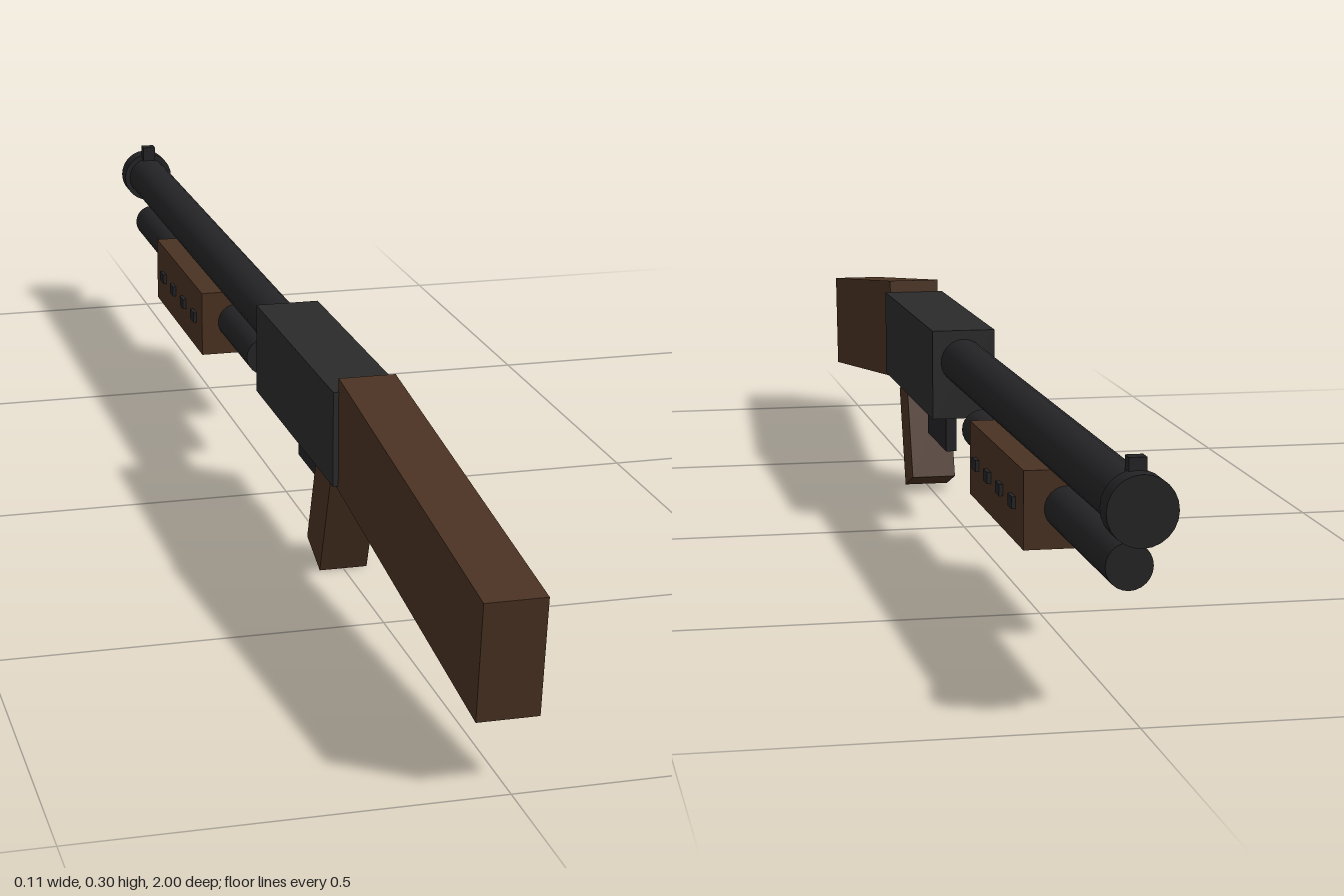
import * as THREE from 'three';

export function createModel() {
  const model = new THREE.Group();
  const material = (name, color) => {
    const m = new THREE.MeshStandardMaterial({ color });
    m.name = name;
    return m;
  };
  const wood = material('walnut wood', 0x4a3222);
  const steel = material('receiver steel', 0x2b2b2b);
  const darkSteel = material('barrel steel', 0x242426);

  const add = (name, geometry, mat, x, y, z, tilt = 0) => {
    const mesh = new THREE.Mesh(geometry, mat);
    mesh.name = name;
    mesh.position.set(x, y, z);
    mesh.rotation.x = tilt;
    model.add(mesh);
    return mesh;
  };
  const box = (name, mat, [w, h, d], [x, y, z], tilt) =>
    add(name, new THREE.BoxGeometry(w, h, d), mat, x, y, z, tilt);
  // Round bar along z between two ends
  const bar = (name, mat, radius, y, z0, z1) => {
    const geometry = new THREE.CylinderGeometry(radius, radius, Math.abs(z1 - z0), 24);
    geometry.rotateX(Math.PI / 2);
    return add(name, geometry, mat, 0, y, (z0 + z1) / 2);
  };

  // Wooden stock and grip, both tilted
  box('stock', wood, [0.074, 0.147, 0.591], [0, 0.19, 0.699], 0.12);
  box('grip', wood, [0.064, 0.149, 0.07], [0, 0.082, 0.3], 0.35);

  // Receiver and the thin guard below it
  box('receiver', steel, [0.088, 0.125, 0.41], [0, 0.218, 0.21]);
  box('triggerGuard', darkSteel, [0.015, 0.05, 0.15], [0, 0.115, 0.175]);

  // Barrel, muzzle ring, front sight and magazine tube
  bar('barrel', darkSteel, 0.032, 0.236, 0.01, -0.99);
  bar('muzzle', darkSteel, 0.04, 0.236, -0.97, -1);
  box('frontSight', darkSteel, [0.02, 0.03, 0.018], [0, 0.275, -0.968]);
  bar('magazineTube', darkSteel, 0.027, 0.164, -0.125, -0.945);

  // Sliding fore-end with four small studs on each side
  box('foreEnd', wood, [0.104, 0.096, 0.332], [0, 0.163, -0.477]);
  for (const side of [-1, 1]) {
    for (let i = 0; i < 4; i++) {
      box('foreEndStud', darkSteel, [0.01, 0.015, 0.024], [side * 0.052, 0.163, -0.361 - i * 0.075]);
    }
  }
  return model;
}
